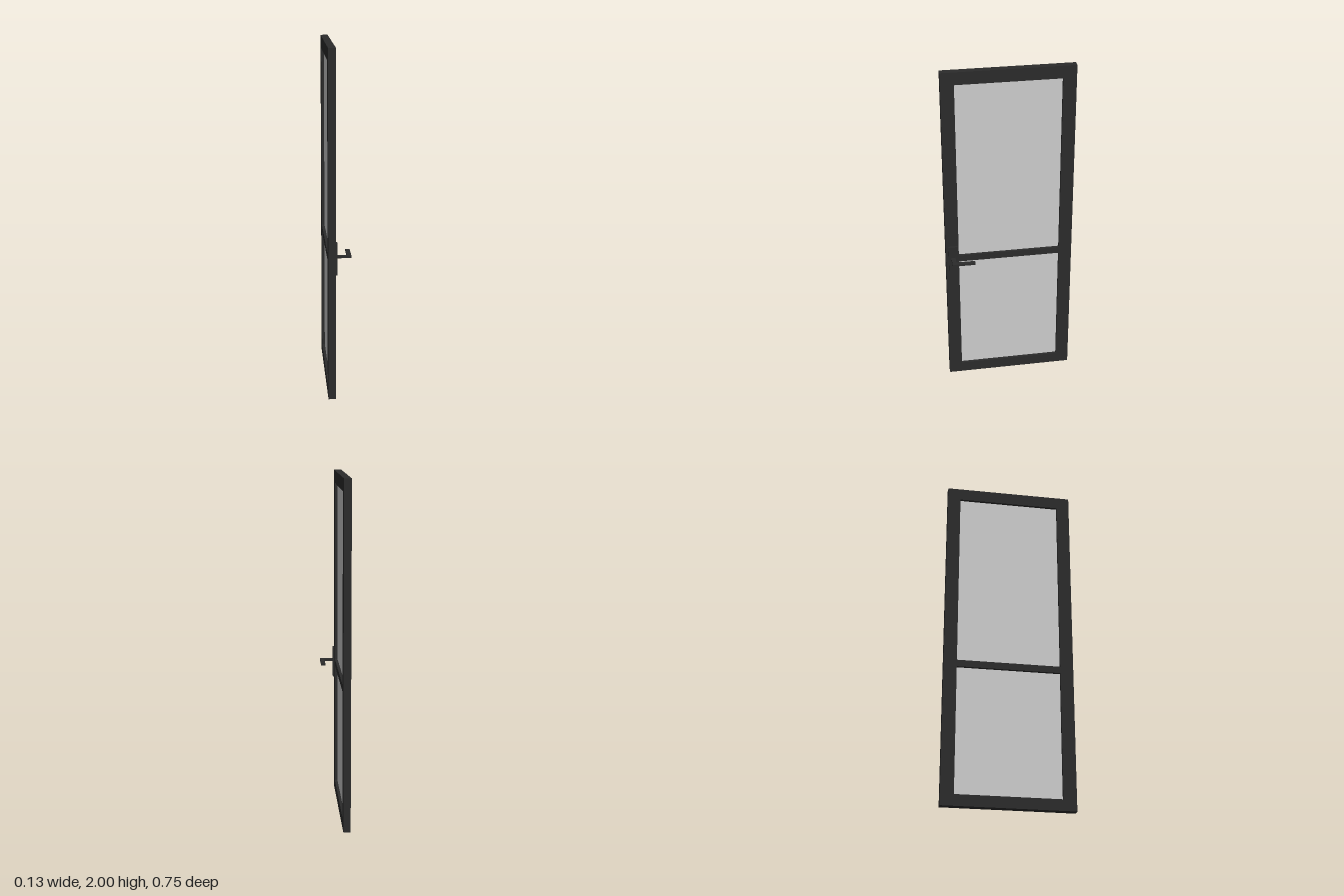
import * as THREE from 'three';

const dark = new THREE.MeshStandardMaterial({ color: 0x2b2b2b });
const grey = new THREE.MeshStandardMaterial({ color: 0xcccccc });

// Rectangle outline given by its limits
function rect(path, u0, u1, v0, v1) {
  path.moveTo(u0, v0);
  path.lineTo(u1, v0);
  path.lineTo(u1, v1);
  path.lineTo(u0, v1);
  path.closePath();
  return path;
}

// Box given by its limits on each axis
function box(name, [x0, x1], [y0, y1], [z0, z1], material) {
  const mesh = new THREE.Mesh(new THREE.BoxGeometry(x1 - x0, y1 - y0, z1 - z0), material);
  mesh.position.set((x0 + x1) / 2, (y0 + y1) / 2, (z0 + z1) / 2);
  mesh.name = name;
  return mesh;
}

export function createModel() {
  const door = new THREE.Group();
  door.name = 'door';
  const back = -0.066, face = -0.024, halfWidth = 0.376, opening = 0.3;
  const panes = [[0.065, 0.813], [0.853, 1.927]];

  // Frame: stiles, rails and crossbar with two openings, thickness along x
  const outline = rect(new THREE.Shape(), -halfWidth, halfWidth, 0, 2);
  for (const [y0, y1] of panes) {
    outline.holes.push(rect(new THREE.Path(), -opening, opening, y0, y1));
  }
  const frameGeometry = new THREE.ExtrudeGeometry(outline, { depth: face - back, bevelEnabled: false });
  frameGeometry.rotateY(Math.PI / 2).translate(back, 0, 0);
  const frame = new THREE.Mesh(frameGeometry, dark);
  frame.name = 'frame';
  door.add(frame);

  // Glass panes set in the middle of the frame thickness
  panes.forEach((span, i) => {
    const name = i ? 'upperGlass' : 'lowerGlass';
    door.add(box(name, [-0.05, -0.04], span, [-opening, opening], grey));
  });

  // Handle: backplate and an L-shaped flat lever
  const handle = new THREE.Group();
  handle.name = 'handle';
  handle.add(box('backplate', [face, -0.013], [0.74, 0.92], [0.308, 0.36], dark));

  const lever = new THREE.Shape();
  [[-0.013, 0.346], [0.065, 0.346], [0.065, 0.213], [0.04, 0.213], [0.04, 0.322], [-0.013, 0.322]]
    .forEach(([x, z], i) => (i ? lever.lineTo(x, z) : lever.moveTo(x, z)));
  const leverGeometry = new THREE.ExtrudeGeometry(lever, { depth: 0.012, bevelEnabled: false });
  leverGeometry.rotateX(Math.PI / 2).translate(0, 0.848, 0);
  const leverMesh = new THREE.Mesh(leverGeometry, dark);
  leverMesh.name = 'lever';
  handle.add(leverMesh);
  door.add(handle);

  return door;
}
